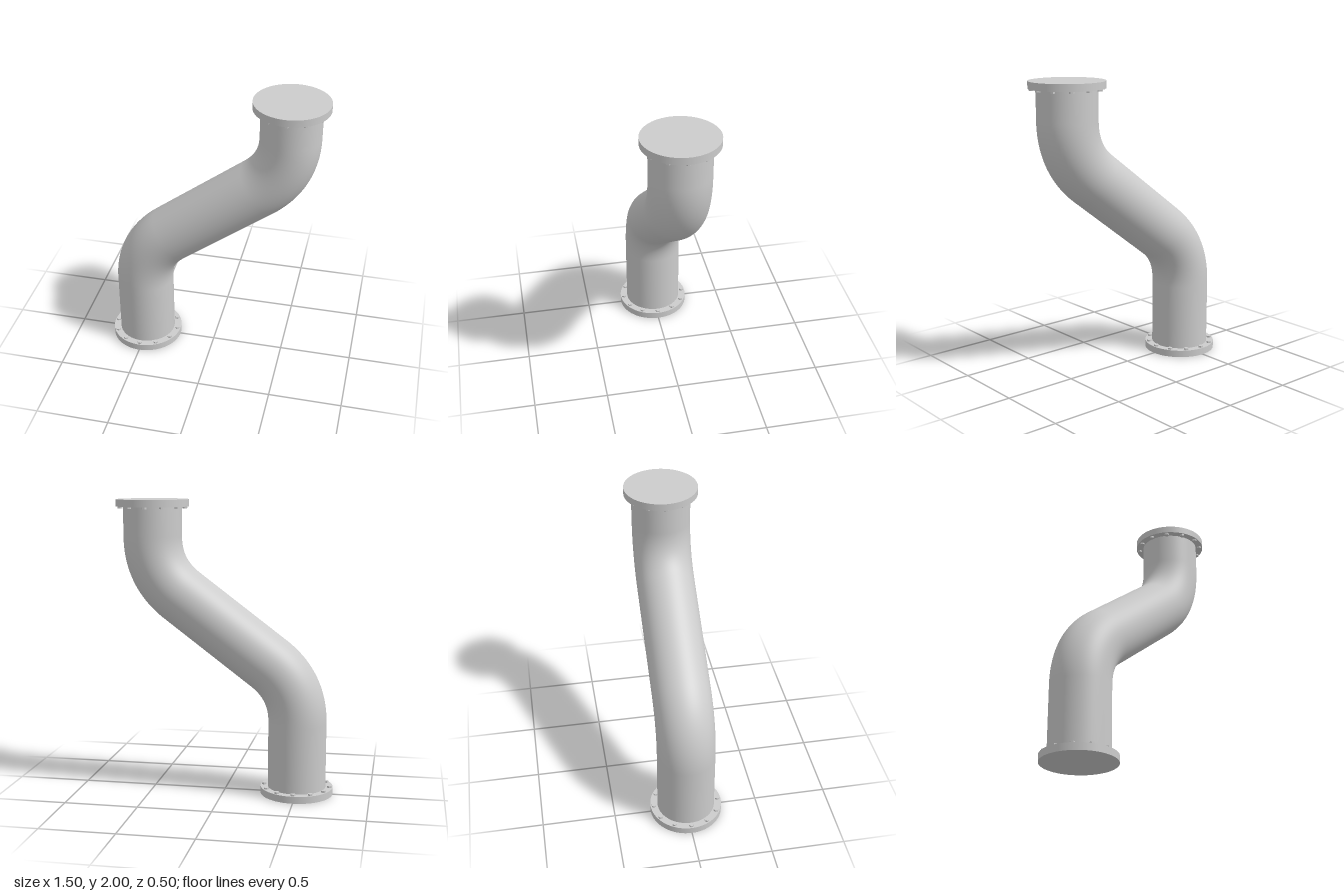
import * as THREE from 'three';

const PIPE_R = 0.198, FLANGE_R = 0.248, FLANGE_H = 0.048;
const BOLT_R = 0.017, BOLT_H = 0.012, BOLT_RING = 0.225, BOLTS = 12;

const material = new THREE.MeshStandardMaterial({ color: 0xcccccc });
const boltMaterial = new THREE.MeshStandardMaterial({ color: 0xcccccc, flatShading: true });

function addMesh(parent, name, geometry, mat = material) {
  const mesh = new THREE.Mesh(geometry, mat);
  mesh.name = name;
  parent.add(mesh);
  return mesh;
}

// Centre line: upright, bend, slanted run, bend, upright
function createPipePath() {
  const p = (x, y) => new THREE.Vector3(x, y, 0);
  const path = new THREE.CurvePath();
  path.add(new THREE.LineCurve3(p(-0.5, 0.02), p(-0.5, 0.5)));
  path.add(new THREE.QuadraticBezierCurve3(p(-0.5, 0.5), p(-0.5, 0.75), p(-0.3, 0.9)));
  path.add(new THREE.LineCurve3(p(-0.3, 0.9), p(0.3, 1.35)));
  path.add(new THREE.QuadraticBezierCurve3(p(0.3, 1.35), p(0.5, 1.5), p(0.5, 1.75)));
  path.add(new THREE.LineCurve3(p(0.5, 1.75), p(0.5, 1.98)));
  return path;
}

// Closed disc with a ring of hexagonal bolt heads on its upper face
function createFlange(name) {
  const flange = new THREE.Group();
  flange.name = name;
  const disc = new THREE.CylinderGeometry(FLANGE_R, FLANGE_R, FLANGE_H, 64);
  addMesh(flange, 'flangeDisc', disc).position.y = FLANGE_H / 2;

  const boltGeometry = new THREE.CylinderGeometry(BOLT_R, BOLT_R, BOLT_H, 6);
  for (let i = 0; i < BOLTS; i++) {
    const a = (i / BOLTS) * Math.PI * 2;
    const bolt = addMesh(flange, 'bolt', boltGeometry, boltMaterial);
    bolt.position.set(Math.cos(a) * BOLT_RING, FLANGE_H + BOLT_H / 2, Math.sin(a) * BOLT_RING);
    bolt.rotation.y = -a;
  }
  return flange;
}

export function createModel() {
  const model = new THREE.Group();
  model.name = 'bentPipe';

  addMesh(model, 'pipe', new THREE.TubeGeometry(createPipePath(), 160, PIPE_R, 64, false));

  const bottom = createFlange('bottomFlange');
  bottom.position.set(-0.5, 0, 0);

  // Upper flange is turned over so its bolts face down
  const top = createFlange('topFlange');
  top.position.set(0.5, 2, 0);
  top.rotation.x = Math.PI;

  model.add(bottom, top);
  return model;
}
